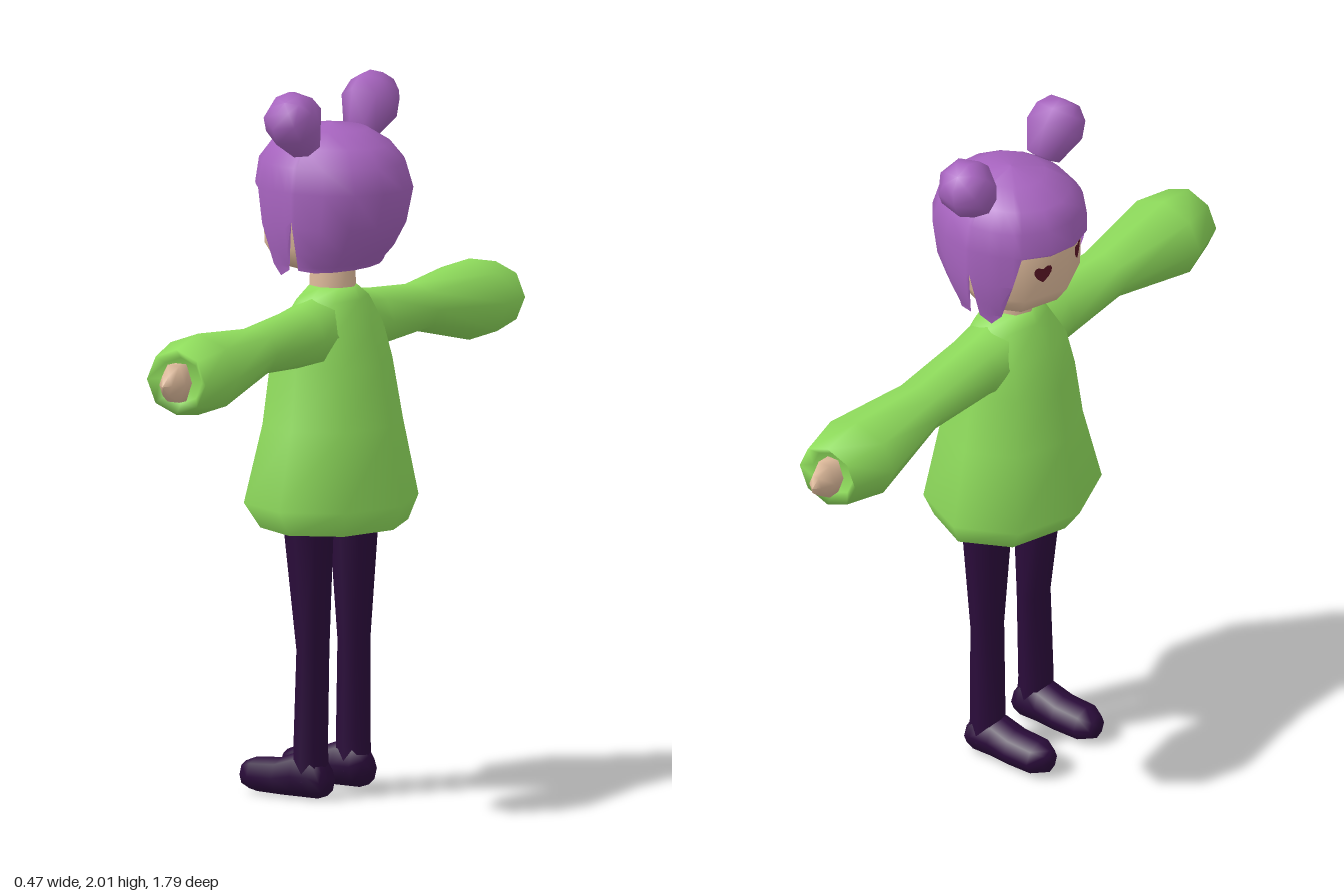
import * as THREE from 'three';

const mat = (name, color, side = THREE.FrontSide) => {
  const m = new THREE.MeshStandardMaterial({ color, side });
  m.name = name;
  return m;
};

// Index a grid of rows x cols vertices
function grid(pos, rows, cols, flip) {
  const idx = [];
  for (let r = 0; r < rows - 1; r++) for (let c = 0; c < cols; c++) {
    const a = r * cols + c, b = r * cols + (c + 1) % cols, d = a + cols, e = b + cols;
    if (flip) idx.push(a, d, b, b, d, e); else idx.push(a, b, d, b, e, d);
  }
  const g = new THREE.BufferGeometry();
  g.setAttribute('position', new THREE.Float32BufferAttribute(pos, 3));
  g.setIndex(idx);
  g.computeVertexNormals();
  return g;
}

// Skin elliptical rings along an axis; ring = [t, uMin, uMax, vMin, vMax]
function loft(axis, rings, n = 8) {
  const place = {
    x: (t, u, v) => [t, v, u],
    y: (t, u, v) => [u, t, v],
    z: (t, u, v) => [u, v, t],
  }[axis];
  const pos = [];
  for (const [t, u0, u1, v0, v1] of rings) for (let i = 0; i < n; i++) {
    const a = i / n * Math.PI * 2;
    pos.push(...place(t, (u0 + u1) / 2 + (u1 - u0) / 2 * Math.cos(a), (v0 + v1) / 2 + (v1 - v0) / 2 * Math.sin(a)));
  }
  return grid(pos, rings.length, n, axis !== 'z');
}

// Copy a geometry to the other side of the body
function mirrorZ(geometry) {
  const g = geometry.clone();
  const p = g.attributes.position, ix = g.index.array;
  for (let i = 0; i < p.count; i++) p.setZ(i, -p.getZ(i));
  for (let i = 0; i < ix.length; i += 3) [ix[i], ix[i + 1]] = [ix[i + 1], ix[i]];
  g.computeVertexNormals();
  return g;
}

// Hair shell: rows from crown to tips, each column stops at its own hem height
function hairGeometry() {
  // [y, back x, front x, half width z]
  const profile = [[1.893, 0.001, 0.001, 0.001], [1.88, 0.1, 0.1, 0.09], [1.84, 0.17, 0.175, 0.15],
    [1.79, 0.212, 0.212, 0.19], [1.72, 0.235, 0.222, 0.203], [1.62, 0.21, 0.215, 0.203],
    [1.55, 0.168, 0.205, 0.193], [1.51, 0.13, 0.2, 0.182], [1.475, 0.11, 0.2, 0.178]];
  // [angle from back, hem height]: nape, slit, side lock, fringe
  const half = [[0, 1.495], [22, 1.495], [45, 1.495], [68, 1.495], [89, 1.5], [92, 1.64], [98, 1.5],
    [108, 1.48], [117, 1.51], [127, 1.62], [133, 1.715], [156, 1.715], [180, 1.715]];
  const cols = [...half, ...half.slice(1, -1).reverse().map(([a, h]) => [360 - a, h])];
  const sample = (y) => {
    let i = 0;
    while (i < profile.length - 2 && profile[i + 1][0] > y) i++;
    const p = profile[i], q = profile[i + 1], k = (p[0] - y) / (p[0] - q[0]);
    return p.map((v, j) => v + (q[j] - v) * k);
  };
  const pos = [];
  for (const row of profile) for (const [deg, hem] of cols) {
    const [y, back, front, width] = sample(Math.max(row[0], hem));
    const a = THREE.MathUtils.degToRad(deg), c = Math.cos(a);
    pos.push(c * (c > 0 ? back : front), y, Math.sin(a) * width);
  }
  return grid(pos, profile.length, cols.length, false);
}

export function createModel() {
  const model = new THREE.Group();
  const green = mat('sweater green', 0x8fdc5c, THREE.DoubleSide);
  const purple = mat('hair purple', 0xa663be, THREE.DoubleSide);
  const dark = mat('stocking purple', 0x2b0c3b);
  const skin = mat('skin', 0xdfbb9c);
  const red = mat('eye red', 0x5c1626, THREE.DoubleSide);

  const add = (name, geometry, material) => {
    const m = new THREE.Mesh(geometry, material);
    m.name = name;
    model.add(m);
    return m;
  };
  const addPair = (name, geometry, material) => {
    add(name + 'A', geometry, material);
    add(name + 'B', mirrorZ(geometry), material);
  };

  // Sweater body, open at the hem
  add('sweaterBody', loft('y', [
    [0.76, -0.19, 0.2, -0.235, 0.235], [0.83, -0.24, 0.23, -0.27, 0.27],
    [1.05, -0.19, 0.19, -0.215, 0.215], [1.22, -0.172, 0.163, -0.185, 0.185],
    [1.32, -0.14, 0.13, -0.17, 0.17], [1.4, -0.09, 0.09, -0.125, 0.125],
    [1.435, -0.07, 0.07, -0.065, 0.065], [1.435, 0, 0, 0, 0]]), green);

  // Sleeves with a recessed cuff
  addPair('sleeve', loft('z', [
    [0.05, -0.1, 0.1, 1.2, 1.42], [0.18, -0.088, 0.09, 1.225, 1.398],
    [0.42, -0.082, 0.088, 1.24, 1.375], [0.7, -0.127, 0.134, 1.172, 1.402],
    [0.825, -0.086, 0.108, 1.192, 1.376], [0.8, -0.06, 0.08, 1.22, 1.35], [0.8, 0.01, 0.01, 1.285, 1.285]]), green);

  // Hands
  addPair('hand', loft('z', [
    [0.78, -0.025, 0.045, 1.22, 1.34], [0.84, -0.028, 0.05, 1.222, 1.342],
    [0.88, -0.01, 0.032, 1.25, 1.315], [0.895, 0.01, 0.01, 1.28, 1.28]], 6), skin);

  // Legs and shoes
  addPair('leg', loft('y', [
    [0.05, -0.05, 0.05, 0.055, 0.162], [0.14, -0.05, 0.045, 0.058, 0.162],
    [0.42, -0.04, 0.045, 0.052, 0.16], [0.76, -0.075, 0.066, 0.045, 0.188],
    [0.86, -0.08, 0.07, 0.045, 0.19], [0.86, 0, 0, 0.115, 0.115]]), dark);
  addPair('foot', loft('x', [
    [-0.222, 0.108, 0.108, 0.05, 0.05], [-0.218, 0.075, 0.14, 0.015, 0.085],
    [-0.18, 0.05, 0.166, 0.002, 0.1], [-0.1, 0.05, 0.166, 0, 0.106],
    [-0.04, 0.052, 0.164, 0, 0.128], [0.02, 0.05, 0.166, 0, 0.13],
    [0.05, 0.065, 0.15, 0.01, 0.09], [0.056, 0.108, 0.108, 0.05, 0.05]]), dark);

  // Neck and head
  add('neck', loft('y', [[1.4, -0.072, 0.072, -0.062, 0.062], [1.53, -0.065, 0.065, -0.058, 0.058]]), skin);
  add('head', loft('y', [
    [1.485, 0, 0, 0, 0], [1.488, -0.12, 0.09, -0.11, 0.11], [1.51, -0.16, 0.115, -0.155, 0.155],
    [1.56, -0.195, 0.155, -0.18, 0.18], [1.72, -0.203, 0.2, -0.19, 0.19],
    [1.8, -0.16, 0.17, -0.15, 0.15], [1.84, 0, 0, 0, 0]]), skin);

  // Hair shell and two buns
  add('hair', hairGeometry(), purple);
  const bun = loft('y', [
    [-0.095, 0, 0, 0, 0], [-0.085, -0.05, 0.05, -0.05, 0.05], [0, -0.085, 0.085, -0.085, 0.085],
    [0.05, -0.075, 0.075, -0.075, 0.075], [0.082, -0.045, 0.045, -0.045, 0.045], [0.085, 0, 0, 0, 0]], 7);
  bun.rotateX(0.65).translate(0, 1.917, 0.195);
  addPair('hairBun', bun, purple);

  // Heart shaped eyes laid on the cheeks
  const heart = new THREE.Shape();
  heart.moveTo(0, -0.028);
  heart.bezierCurveTo(-0.045, 0, -0.03, 0.04, 0, 0.015);
  heart.bezierCurveTo(0.03, 0.04, 0.045, 0, 0, -0.028);
  const eye = new THREE.ShapeGeometry(heart, 6);
  eye.rotateY(Math.atan2(-0.92, 0.39)).translate(-0.172, 1.642, 0.078);
  addPair('eye', eye, red);

  return model;
}
